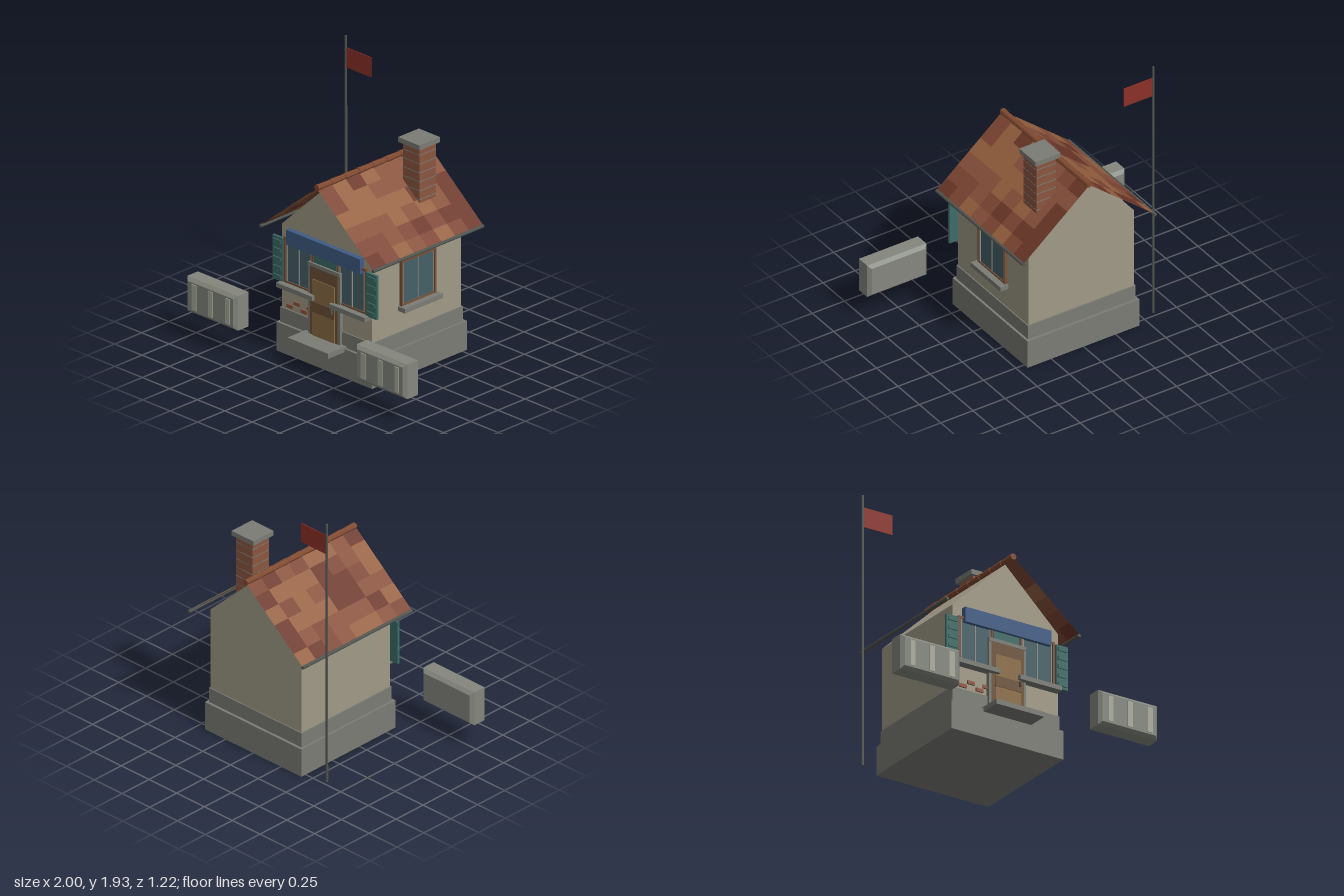
import * as THREE from 'three';
import { mergeGeometries } from 'three/addons/utils/BufferGeometryUtils.js';

const mat = (color, side = THREE.FrontSide) =>
  new THREE.MeshStandardMaterial({ color, side, flatShading: true });
const M = {
  wall: mat(0xa09a86), stone: mat(0x7a7c74), brick: mat(0x8c5640), timber: mat(0x7a5238),
  door: mat(0x6e5236), panel: mat(0x8c6d45), glass: mat(0x456068), bar: mat(0x8a8f88),
  shutter: mat(0x3c6c68), sign: mat(0x3f5c86), metal: mat(0x50544f), ridge: mat(0x80492f),
  flag: mat(0x8c3028), stripe: mat(0xaaac9c), barrier: mat(0x84877e),
};

export function createModel() {
  const root = new THREE.Group();

  const add = (name, geo, material, parent = root) => {
    const mesh = new THREE.Mesh(geo, material);
    mesh.name = name;
    parent.add(mesh);
    return mesh;
  };
  // Box given by its limits on each axis
  const box = (name, m, x0, x1, y0, y1, z0, z1, parent = root) => {
    const g = new THREE.BoxGeometry(x1 - x0, y1 - y0, z1 - z0);
    g.translate((x0 + x1) / 2, (y0 + y1) / 2, (z0 + z1) / 2);
    return add(name, g, m, parent);
  };
  const group = (name) => {
    const g = new THREE.Group();
    g.name = name;
    root.add(g);
    return g;
  };

  // Foundation and gabled walls
  box('foundation', M.stone, -0.435, 0.435, 0, 0.205, -0.54, 0.335);
  box('plinth', M.stone, -0.418, 0.418, 0.205, 0.31, -0.52, 0.317);
  const gable = new THREE.Shape([[-0.41, 0.3], [0.41, 0.3], [0.41, 0.9], [0, 1.29], [-0.41, 0.9]]
    .map(([x, y]) => new THREE.Vector2(x, y)));
  const walls = new THREE.ExtrudeGeometry(gable, { depth: 0.82, bevelEnabled: false });
  add('walls', walls.translate(0, 0, -0.512), M.wall);
  box('doorStep', M.stone, -0.185, 0.185, 0.182, 0.218, 0.3, 0.485);

  // Thin roof slopes as a patchwork of tiles in four shades
  const ridgeY = 1.31, eaveX = 0.52, eaveY = 0.88, zBack = -0.61, zFront = 0.405;
  const rows = 6, cols = 8, depth = (zFront - zBack) / cols;
  const run = Math.hypot(eaveX, ridgeY - eaveY), pitch = Math.atan2(ridgeY - eaveY, eaveX);
  const shades = [0x7d4533, 0x86503a, 0x95603f, 0x6b3628];
  let seed = 7;
  const random = () => (seed = (seed * 16807) % 2147483647) / 2147483647;
  const roof = group('roof');
  const batches = shades.map(() => []);
  for (const s of [-1, 1]) for (let r = 0; r < rows; r++) for (let c = 0; c < cols; c++) {
    const t = (r + 0.5) / rows;
    const tile = new THREE.PlaneGeometry(run / rows, depth).rotateX(-Math.PI / 2).rotateZ(-s * pitch);
    tile.translate(s * eaveX * t, ridgeY - (ridgeY - eaveY) * t, zBack + depth * (c + 0.5));
    batches[Math.floor(random() * 4)].push(tile);
  }
  batches.forEach((b, i) => add('roofTiles', mergeGeometries(b), mat(shades[i], THREE.DoubleSide), roof));

  // Overlapping ridge tiles and eave gutters
  for (let c = 0; c < cols; c++) {
    const g = new THREE.CylinderGeometry(0.023, 0.019, depth, 8).rotateX(Math.PI / 2);
    add('ridgeTile', g.translate(0, ridgeY, zBack + depth * (c + 0.5)), M.ridge, roof);
  }
  for (const s of [-1, 1]) {
    const g = new THREE.CylinderGeometry(0.012, 0.012, zFront - zBack, 8).rotateX(Math.PI / 2);
    add('gutter', g.translate(s * 0.513, eaveY, (zFront + zBack) / 2), M.metal, roof);
  }

  // Chimney with mortar courses and cap
  const chimney = group('chimney');
  box('chimneyStack', M.brick, 0.13, 0.28, 0.95, 1.47, -0.41, -0.26, chimney);
  for (let i = 0; i < 6; i++) {
    const y = 1.1 + i * 0.063;
    box('mortarCourse', M.stone, 0.129, 0.281, y, y + 0.006, -0.411, -0.259, chimney);
  }
  box('chimneyCap', M.stone, 0.105, 0.3, 1.465, 1.5, -0.43, -0.24, chimney);

  // Window facing +z around its own centre, with frame, mullions and sill
  const window_ = (name, w, h, mullions, sillW) => {
    const g = group(name);
    const a = w / 2, b = h / 2, f = 0.016;
    box('glass', M.glass, -a + f, a - f, -b, b - f, -0.005, 0.01, g);
    for (const s of [-1, 1]) {
      box('frameSide', M.timber, s * (a - f / 2) - f / 2, s * (a - f / 2) + f / 2, -b, b, -0.005, 0.02, g);
    }
    box('frameTop', M.timber, -a, a, b - f, b, -0.005, 0.02, g);
    box('frameBottom', M.timber, -a, a, -b, -b + f, -0.005, 0.018, g);
    mullions.forEach((x) => box('mullion', M.bar, x - 0.004, x + 0.004, -b + f, b - f, 0, 0.016, g));
    box('sill', M.stone, -sillW / 2, sillW / 2, -b - 0.028, -b + 0.004, -0.01, 0.062, g);
    return g;
  };
  const side = window_('sideWindow', 0.32, 0.325, [-0.138, 0, 0.138], 0.35);
  side.rotation.y = Math.PI / 2;
  side.position.set(0.41, 0.652, -0.105);

  // Front windows with louvred shutters
  for (const s of [-1, 1]) {
    const w = window_('frontWindow', 0.27, 0.325, [-0.11, 0.0, 0.11], 0.325);
    w.position.set(s * 0.24, 0.662, 0.308);
    const sh = group('shutter');
    sh.position.set(s * 0.427, 0.655, 0.325);
    box('shutterPanel', M.shutter, -0.046, 0.046, -0.155, 0.155, -0.01, 0.008, sh);
    for (let i = 0; i < 5; i++) {
      const y = -0.125 + i * 0.0625;
      box('slat', M.shutter, -0.036, 0.036, y - 0.012, y + 0.012, 0.008, 0.016, sh);
    }
  }

  // Door with surround, panels, transom light and handle
  const door = group('door');
  for (const s of [-1, 1]) {
    box('doorJamb', M.stone, s * 0.135 - 0.01, s * 0.135 + 0.01, 0.21, 0.7, 0.3, 0.335, door);
  }
  box('lintel', M.stone, -0.145, 0.145, 0.7, 0.725, 0.3, 0.34, door);
  box('doorFrame', M.door, -0.126, 0.126, 0.215, 0.7, 0.3, 0.338, door);
  box('doorLeaf', M.panel, -0.1, 0.1, 0.218, 0.615, 0.33, 0.344, door);
  box('doorRail', M.door, -0.1, 0.1, 0.385, 0.46, 0.34, 0.347, door);
  box('doorHandle', M.metal, 0.08, 0.092, 0.425, 0.455, 0.34, 0.365, door);
  box('transomLight', M.shutter, -0.1, 0.1, 0.725, 0.8, 0.3, 0.325, door);

  // Blank sign board
  box('signBoard', M.sign, -0.335, 0.335, 0.785, 0.89, 0.3, 0.345);

  // Bricks showing through worn plaster
  for (const [x, y] of [[-0.333, 0.338], [-0.203, 0.338], [-0.268, 0.373], [-0.15, 0.373]]) {
    box('exposedBrick', M.brick, x - 0.028, x + 0.028, y - 0.012, y + 0.012, 0.3, 0.318);
  }

  // Flagpole and flag
  const pole = new THREE.CylinderGeometry(0.008, 0.009, 1.93, 8);
  add('flagpole', pole.translate(-0.592, 0.965, -0.465), M.metal);
  box('flag', M.flag, -0.585, -0.362, 1.705, 1.845, -0.468, -0.462);

  // Bevelled roadside barriers with pale stripes
  const bevel = 0.022, bw = 0.23 - bevel, bh = 0.123 - bevel;
  const outline = new THREE.Shape([[-bw, -bh], [bw, -bh], [bw, bh], [-bw, bh]]
    .map(([x, y]) => new THREE.Vector2(x, y)));
  for (const s of [-1, 1]) {
    const g = group('barrier');
    g.position.set(s * 0.77, 0.307, 0.533);
    const block = new THREE.ExtrudeGeometry(outline, {
      depth: 0.14 - 2 * bevel, bevelSize: bevel, bevelThickness: bevel, bevelSegments: 1,
    });
    add('barrierBlock', block.translate(0, 0, -0.07 + bevel), M.barrier, g);
    for (const x of [-0.148, 0.005, 0.158]) {
      box('barrierStripe', M.stripe, x - 0.02, x + 0.02, -0.09, 0.09, 0.06, 0.075, g);
    }
  }
  return root;
}
